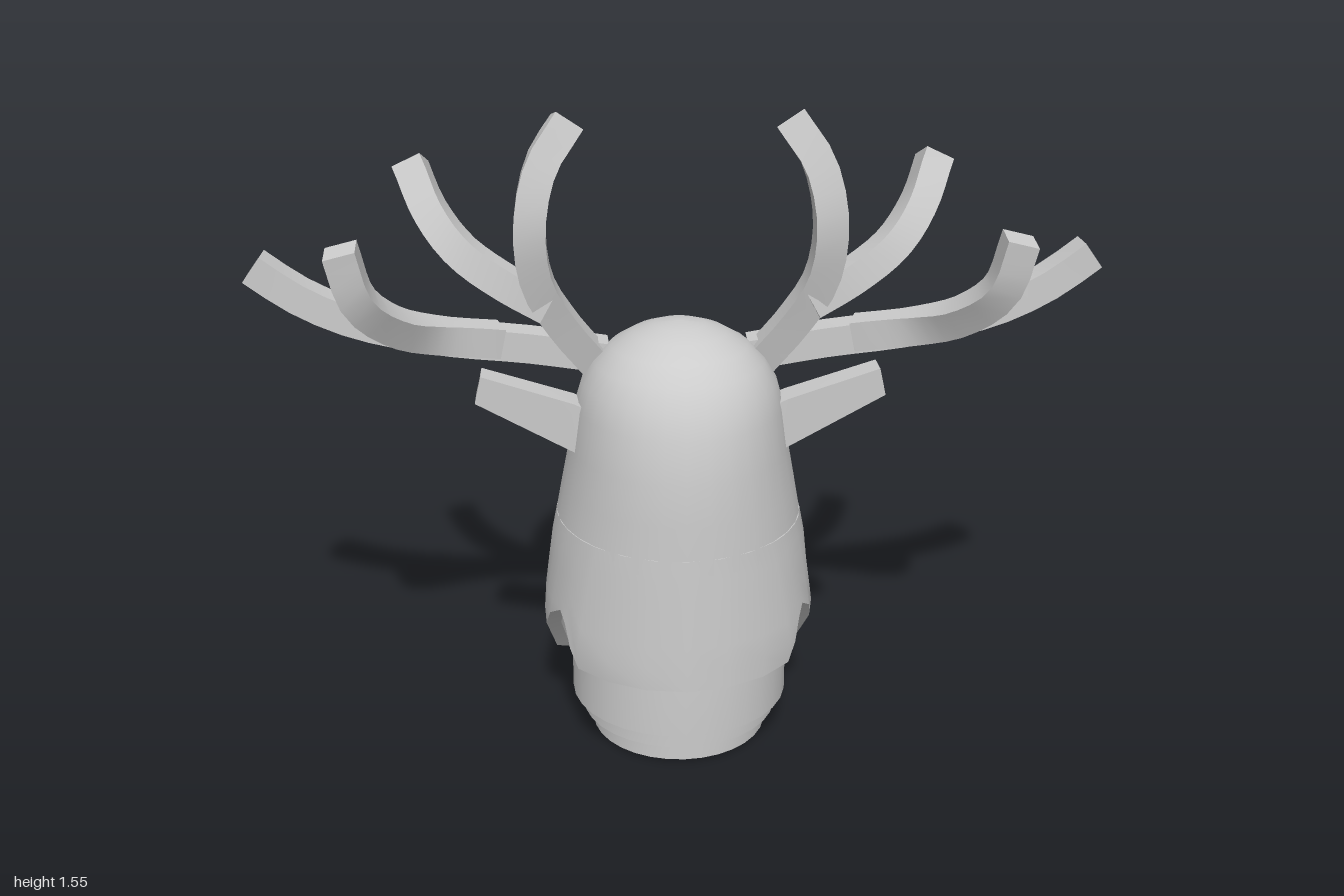
import * as THREE from 'three';
import { toCreasedNormals } from 'three/addons/utils/BufferGeometryUtils.js';

const V = (x, y, z) => new THREE.Vector3(x, y, z);
const rad = THREE.MathUtils.degToRad;
const mat = new THREE.MeshStandardMaterial({ color: 0xcccccc });

function part(name, geometry) {
  const mesh = new THREE.Mesh(geometry, mat);
  mesh.name = name;
  return mesh;
}

// Closed solid through rings of points (even count); turned outward by its signed volume
function loft(rings, crease = 40) {
  const m = rings[0].length, tris = [];
  const quad = (a, b, c, d) => tris.push([a, b, c], [a, c, d]);
  for (let i = 0; i < rings.length - 1; i++) {
    for (let j = 0; j < m; j++) {
      const k = (j + 1) % m;
      quad(rings[i][j], rings[i][k], rings[i + 1][k], rings[i + 1][j]);
    }
  }
  const s = rings[0], e = rings[rings.length - 1];
  for (let k = 0; k < m / 2 - 1; k++) {
    quad(e[k], e[k + 1], e[m - 2 - k], e[m - 1 - k]);
    quad(s[m - 1 - k], s[m - 2 - k], s[k + 1], s[k]);
  }
  const volume = tris.reduce((sum, [a, b, c]) => sum + a.dot(b.clone().cross(c)), 0);
  const pos = [];
  for (const [a, b, c] of tris) {
    for (const p of volume < 0 ? [a, c, b] : [a, b, c]) pos.push(p.x, p.y, p.z);
  }
  const g = new THREE.BufferGeometry();
  g.setAttribute('position', new THREE.Float32BufferAttribute(pos, 3));
  return toCreasedNormals(g, rad(crease));
}

// Linear lookup in rows [key, ...values]
function lookup(rows, key) {
  let i = 0;
  while (i < rows.length - 2 && key > rows[i + 1][0]) i++;
  const a = rows[i], b = rows[i + 1];
  const t = THREE.MathUtils.clamp((key - a[0]) / (b[0] - a[0]), 0, 1);
  return a.map((v, n) => v + (b[n] - v) * t);
}

// Outline point: angle 0 is the nape, 180 the throat
function outline([y, hw, back, mid, front], angle, inset = 0) {
  const c = Math.cos(rad(angle)), r = c > 0 ? back - mid : mid - front;
  return V((hw - inset) * Math.sin(rad(angle)), y, mid + (r - inset) * c);
}

// Rows: y, half width, back z, widest z, front z
const HOOD = [
  [0.14, 0.31, 0.475, 0.13, -0.2], [0.3, 0.335, 0.473, 0.13, -0.18],
  [0.5, 0.31, 0.466, 0.13, -0.15], [0.6, 0.29, 0.462, 0.14, -0.12],
];
const SKULL = [
  [0.53, 0.303, 0.463, 0.13, -0.12], [0.65, 0.281, 0.46, 0.14, -0.1],
  [0.75, 0.262, 0.455, 0.15, -0.1], [0.85, 0.247, 0.437, 0.16, -0.09],
  [0.91, 0.23, 0.415, 0.17, -0.06], [0.96, 0.2, 0.385, 0.18, -0.02],
  [1.0, 0.16, 0.345, 0.18, 0.02], [1.03, 0.11, 0.295, 0.18, 0.07],
  [1.048, 0.06, 0.24, 0.18, 0.12], [1.055, 0.004, 0.184, 0.18, 0.176],
];
const NECK = [
  [0.1, 0.265, 0.44, 0.175, -0.09], [0.22, 0.265, 0.44, 0.175, -0.095],
  [0.32, 0.268, 0.435, 0.17, -0.108], [0.42, 0.27, 0.43, 0.15, -0.125],
  [0.55, 0.27, 0.43, 0.14, -0.145],
];
const ring = (row, n = 32) => Array.from({ length: n }, (_, i) => outline(row, (i * 360) / n));

// Hood lower edge: angle, y
const HEM = [
  [0, 0.24], [18, 0.24], [36, 0.24], [53, 0.24], [58, 0.285], [64, 0.34], [70, 0.365],
  [80, 0.33], [90, 0.265], [102, 0.15], [115, 0.147], [128, 0.143], [142, 0.14],
];

function hoodSkirt() {
  const columns = [...HEM.slice(1).reverse().map(([a, y]) => [-a, y]), ...HEM];
  const steps = 6, topY = 0.57;
  return loft(columns.map(([angle, hemY]) => {
    const side = (inset) => Array.from({ length: steps + 1 }, (_, i) => {
      const y = THREE.MathUtils.lerp(topY, hemY, i / steps);
      const turn = THREE.MathUtils.mapLinear(y, 0.14, topY, 1, 0.82);
      return outline(lookup(HOOD, y), angle * turn, inset);
    });
    return [...side(0), ...side(0.036).reverse()];
  }), 35);
}

// Face stations: top z, top y, bottom z, bottom y, half width
const FACE = [
  [0.1, 1.0, 0.1, 0.57, 0.22], [0.03, 0.99, 0.03, 0.545, 0.215], [-0.02, 0.968, -0.02, 0.53, 0.2],
  [-0.07, 0.925, -0.07, 0.52, 0.185], [-0.13, 0.885, -0.11, 0.51, 0.165], [-0.165, 0.84, -0.15, 0.505, 0.145],
  [-0.19, 0.78, -0.19, 0.507, 0.13], [-0.3, 0.71, -0.29, 0.515, 0.11],
  [-0.4, 0.65, -0.38, 0.522, 0.088], [-0.475, 0.605, -0.43, 0.525, 0.045],
];
const FACE_HALF = [[0, 0], [0.45, 0], [0.85, 0], [1, 0.13], [0.97, 0.4], [0.84, 0.68], [0.6, 0.88], [0.3, 0.97], [0, 1]];
const FACE_LOOP = [...FACE_HALF, ...FACE_HALF.slice(1, -1).reverse().map(([x, t]) => [-x, t])];

function face() {
  return loft(FACE.map(([zt, yt, zb, yb, hw]) =>
    FACE_LOOP.map(([x, t]) => V(x * hw, yb + (yt - yb) * t, zb + (zt - zb) * t))), 50);
}

// Square bar swept along a smooth path
function bar(points, width, height, s) {
  const curve = new THREE.CatmullRomCurve3(points.map(([x, y, z]) => V(x * s, y, z)));
  const n = 14, rings = [];
  for (let i = 0; i <= n; i++) {
    const p = curve.getPointAt(i / n), t = curve.getTangentAt(i / n);
    const side = V(0, 0, 1).addScaledVector(t, -t.z).normalize();
    const up = t.clone().cross(side);
    rings.push([[-1, -1], [1, -1], [1, 1], [-1, 1]].map(([a, b]) =>
      p.clone().addScaledVector(side, (a * width) / 2).addScaledVector(up, (b * height) / 2)));
  }
  return loft(rings, 30);
}

const ANTLER = {
  beam: [[0.17, 0.955, 0.12], [0.35, 0.985, 0.125], [0.55, 1.01, 0.13], [0.75, 1.055, 0.125], [0.88, 1.115, 0.12], [0.975, 1.185, 0.12]],
  rearTine: [[0.42, 1.0, 0.13], [0.56, 1.03, 0.18], [0.65, 1.08, 0.26], [0.715, 1.16, 0.325], [0.745, 1.28, 0.345]],
  tallTine: [[0.2, 0.95, 0.14], [0.27, 1.05, 0.175], [0.325, 1.16, 0.21], [0.338, 1.3, 0.235], [0.31, 1.43, 0.215], [0.25, 1.52, 0.18]],
  frontTine: [[0.3, 1.1, 0.2], [0.4, 1.155, 0.185], [0.5, 1.22, 0.14], [0.57, 1.3, 0.075], [0.615, 1.395, 0.015]],
};

// Ear: tapering channel, hollow towards the face
function ear(s) {
  const section = ([x0, y0, x1, y1, z, depth, wall]) => {
    const at = (t, dz) => V(s * (x0 + (x1 - x0) * t), y0 + (y1 - y0) * t, z - dz);
    return [at(0, 0), at(1, 0), at(1, depth), at(1 - wall, depth), at(1 - wall, depth * 0.45),
      at(wall, depth * 0.45), at(wall, depth), at(0, depth)];
  };
  return loft([
    section([0.2, 0.725, 0.2, 0.85, 0.235, 0.075, 0.2]),
    section([0.27, 0.765, 0.25, 0.875, 0.24, 0.075, 0.2]),
    section([0.475, 0.89, 0.46, 0.955, 0.265, 0.065, 0.25]),
  ], 20);
}

export function createModel() {
  const model = new THREE.Group();
  model.name = 'stagHeadBust';

  // Stepped round base
  for (const [name, r, y0, y1] of [['baseFoot', 0.215, 0.005, 0.05], ['baseStep', 0.24, 0.055, 0.095], ['baseGroove', 0.205, 0, 0.11]]) {
    const disc = part(name, toCreasedNormals(new THREE.CylinderGeometry(r, r, y1 - y0, 32), rad(40)));
    disc.position.set(0, (y0 + y1) / 2, 0.175);
    model.add(disc);
  }

  // Neck, hood and head
  model.add(part('neck', loft(NECK.map((r) => ring(r)))));
  model.add(part('hoodSkirt', hoodSkirt()));
  model.add(part('skull', loft(SKULL.map((r) => ring(r)), 60)));
  model.add(part('face', face()));

  // Paired parts
  for (const [label, s] of [['left', 1], ['right', -1]]) {
    const eye = part(label + 'Eye', new THREE.SphereGeometry(1, 20, 14));
    eye.scale.set(0.042, 0.05, 0.065);
    eye.position.set(s * 0.172, 0.808, -0.05);
    eye.rotation.y = s * 0.5;
    model.add(eye);

    const brow = part(label + 'Brow', new THREE.SphereGeometry(1, 20, 14));
    brow.scale.set(0.05, 0.034, 0.1);
    brow.position.set(s * 0.155, 0.868, -0.06);
    brow.rotation.set(-0.12, s * 0.5, 0);
    model.add(brow);

    model.add(part(label + 'Ear', ear(s)));

    const antler = new THREE.Group();
    antler.name = label + 'Antler';
    for (const [name, path] of Object.entries(ANTLER)) antler.add(part(name, bar(path, 0.07, 0.072, s)));
    model.add(antler);
  }
  return model;
}
